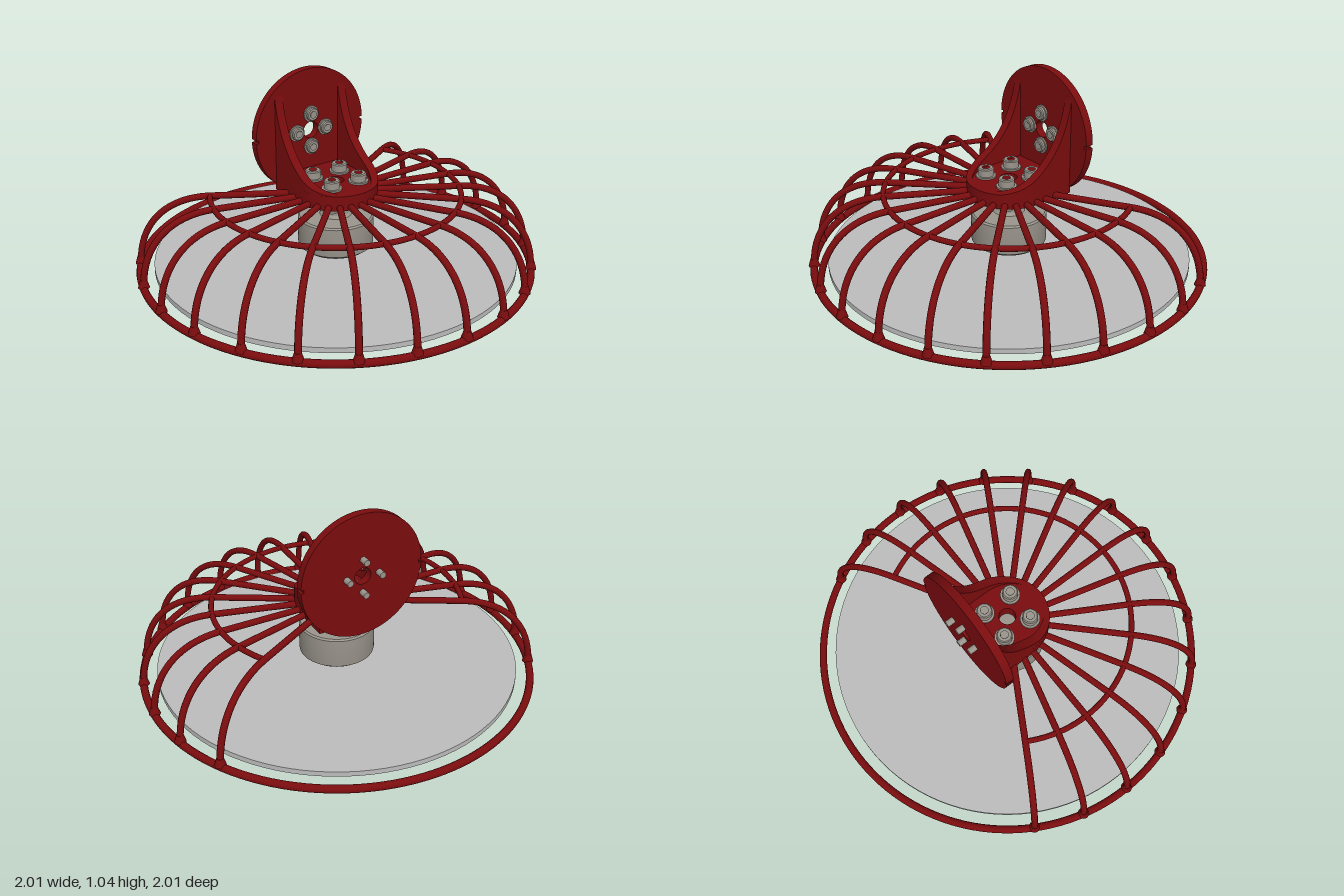
import * as THREE from 'three';
import { toCreasedNormals } from 'three/addons/utils/BufferGeometryUtils.js';

const red = new THREE.MeshStandardMaterial({ color: 0x7a0c0e });
red.name = 'dark red plastic';
const metal = new THREE.MeshStandardMaterial({ color: 0x9a958c });
metal.name = 'warm grey metal';
const grey = new THREE.MeshStandardMaterial({ color: 0xbcbcbc });
grey.name = 'light grey disc';

const V = (x, y, z = 0) => new THREE.Vector3(x, y, z);

export function createModel() {
  const root = new THREE.Group();
  const add = (name, geo, mat, parent = root) => {
    const m = new THREE.Mesh(geo, mat);
    m.name = name;
    parent.add(m);
    return m;
  };
  const cyl = (name, r, y0, y1, mat, parent, x = 0, z = 0, rBottom = r) => {
    const m = add(name, new THREE.CylinderGeometry(r, rBottom, y1 - y0, 32), mat, parent);
    m.position.set(x, (y0 + y1) / 2, z);
    return m;
  };
  const lathe = (pts, seg = 64) => toCreasedNormals(
    new THREE.LatheGeometry(pts.map(p => new THREE.Vector2(...p)), seg), 0.5);

  // Spinning disc
  add('propellerDisc', new THREE.CylinderGeometry(0.91, 0.91, 0.026, 96), grey).position.y = 0.127;

  // Guard: base ring, arc at the shoulders and curved ribs
  const guard = new THREE.Group();
  guard.name = 'guard';
  root.add(guard);
  const ring = add('baseRing', new THREE.TorusGeometry(0.981, 0.019, 12, 128), red, guard);
  ring.rotation.x = -Math.PI / 2;
  ring.position.y = 0.107;
  const arc = add('shoulderArc',
    new THREE.TorusGeometry(0.62, 0.014, 10, 80, Math.PI * 4 / 3).rotateZ(-Math.PI * 2 / 3), red, guard);
  arc.rotation.x = -Math.PI / 2;
  arc.position.y = 0.466;

  const path = new THREE.CurvePath();
  path.add(new THREE.LineCurve3(V(0.14, 0.466), V(0.62, 0.466)));
  path.add(new THREE.CubicBezierCurve3(V(0.62, 0.466), V(0.84, 0.466), V(0.975, 0.33), V(0.98, 0.107)));
  const ribGeo = new THREE.TubeGeometry(path, 40, 0.0165, 10);
  for (let i = -8; i <= 8; i++) {
    const rib = new THREE.Group();
    rib.name = 'rib';
    rib.rotation.y = i * Math.PI / 12;
    guard.add(rib);
    add('ribBar', ribGeo, red, rib);
    cyl('ribFoot', 0.016, 0.115, 0.155, red, rib, 0.979, 0, 0.028);
  }

  // Hub plate with a rounded outer end and a central hole
  const R = 0.21;
  const hub = new THREE.Shape();
  hub.moveTo(-0.22, -R);
  hub.lineTo(0, -R);
  hub.absarc(0, 0, R, -Math.PI / 2, Math.PI / 2, false);
  hub.lineTo(-0.22, R);
  hub.closePath();
  hub.holes.push(new THREE.Path().absarc(0, 0, 0.042, 0, Math.PI * 2, true));
  const hubGeo = new THREE.ExtrudeGeometry(hub, { depth: 0.075, bevelEnabled: false, curveSegments: 32 });
  add('hubPlate', toCreasedNormals(hubGeo.rotateX(-Math.PI / 2), 0.5), red).position.y = 0.45;

  // Upright mounting flange: notched disc with a central hole
  const face = new THREE.Shape();
  const a = 0.025, rf = 0.32;
  face.absarc(0, 0, rf, a, Math.PI - a, false);
  face.lineTo(-rf + 0.014, 0.008);
  face.lineTo(-rf + 0.014, -0.008);
  face.absarc(0, 0, rf, Math.PI + a, Math.PI * 2 - a, false);
  face.lineTo(rf - 0.014, -0.008);
  face.lineTo(rf - 0.014, 0.008);
  face.closePath();
  face.holes.push(new THREE.Path().absarc(0, 0, 0.043, 0, Math.PI * 2, true));
  const faceGeo = new THREE.ExtrudeGeometry(face, { depth: 0.042, bevelEnabled: false, curveSegments: 40 });
  add('mountingFlange', toCreasedNormals(faceGeo.rotateY(Math.PI / 2), 0.5), red).position.set(-0.255, 0.725, 0);

  // Side gussets: walls along the hub edge with a concave top
  const slope = new THREE.QuadraticBezierCurve(
    new THREE.Vector2(-0.215, 0.95), new THREE.Vector2(-0.165, 0.585), new THREE.Vector2(0.18, 0.522));
  for (const s of [1, -1]) {
    const pos = [], idx = [], n = 28;
    for (let i = 0; i <= n; i++) {
      const { x, y } = slope.getPoint(i / n);
      const zo = x < 0 ? R : Math.sqrt(R * R - x * x);
      const zi = zo - 0.045;
      pos.push(x, 0.5, s * zo, x, y, s * zo, x, y, s * zi, x, 0.5, s * zi);
      if (i === n) continue;
      for (let k = 0; k < 4; k++) {
        const p = i * 4 + k, q = i * 4 + (k + 1) % 4;
        if (s > 0) idx.push(p, p + 4, q + 4, p, q + 4, q);
        else idx.push(p, q + 4, p + 4, p, q, q + 4);
      }
    }
    const g = new THREE.BufferGeometry();
    g.setAttribute('position', new THREE.Float32BufferAttribute(pos, 3));
    g.setIndex(idx);
    add(s > 0 ? 'leftGusset' : 'rightGusset', toCreasedNormals(g, 0.5), red);
  }

  // Socket-head bolt standing on y = 0, with a recessed hexagon
  const bolt = (name, rHead, h, rWasher, shank) => {
    const b = new THREE.Group();
    b.name = name;
    root.add(b);
    cyl('washer', rWasher, 0, 0.008, metal, b);
    add('head', lathe([[rHead, 0.004], [rHead, h - 0.005], [rHead - 0.005, h], [rHead * 0.5, h]], 32), metal, b);
    const socket = add('socket', toCreasedNormals(new THREE.LatheGeometry(
      [new THREE.Vector2(rHead * 0.52, h), new THREE.Vector2(rHead * 0.52, h * 0.5), new THREE.Vector2(0, h * 0.5)]
        .reverse(), 6), 0.3), metal, b);
    socket.rotation.y = Math.PI / 6;
    cyl('shank', 0.016, -shank, 0.004, metal, b);
    return b;
  };
  for (let i = 0; i < 4; i++) {
    const t = i * Math.PI / 2;
    bolt('flangeBolt', 0.034, 0.024, 0.042, 0.082)
      .position.set(-0.213, 0.725 + 0.086 * Math.sin(t), 0.086 * Math.cos(t));
    root.children[root.children.length - 1].rotation.z = -Math.PI / 2;
    const x = i % 2 ? 0.08 : -0.08, z = i < 2 ? 0.08 : -0.08;
    bolt('hubBolt', 0.039, 0.048, 0.05, 0.1).position.set(x, 0.525, z);
    // Motor mounting lugs under the hub
    cyl('motorLug', 0.045, 0.405, 0.45, metal, root, x, z, 0.034);
  }

  // Motor: shaft, collar, can and flared neck
  add('motorBody', lathe([
    [0, 0.172], [0.165, 0.172], [0.188, 0.19], [0.19, 0.2], [0.19, 0.338], [0.182, 0.346],
    [0.08, 0.346], [0.07, 0.36], [0.068, 0.38], [0.085, 0.4], [0.115, 0.42], [0.115, 0.45], [0, 0.45]]), metal);
  cyl('propellerCollar', 0.083, 0.09, 0.18, metal);
  cyl('shaft', 0.035, 0, 0.1, metal);
  return root;
}
